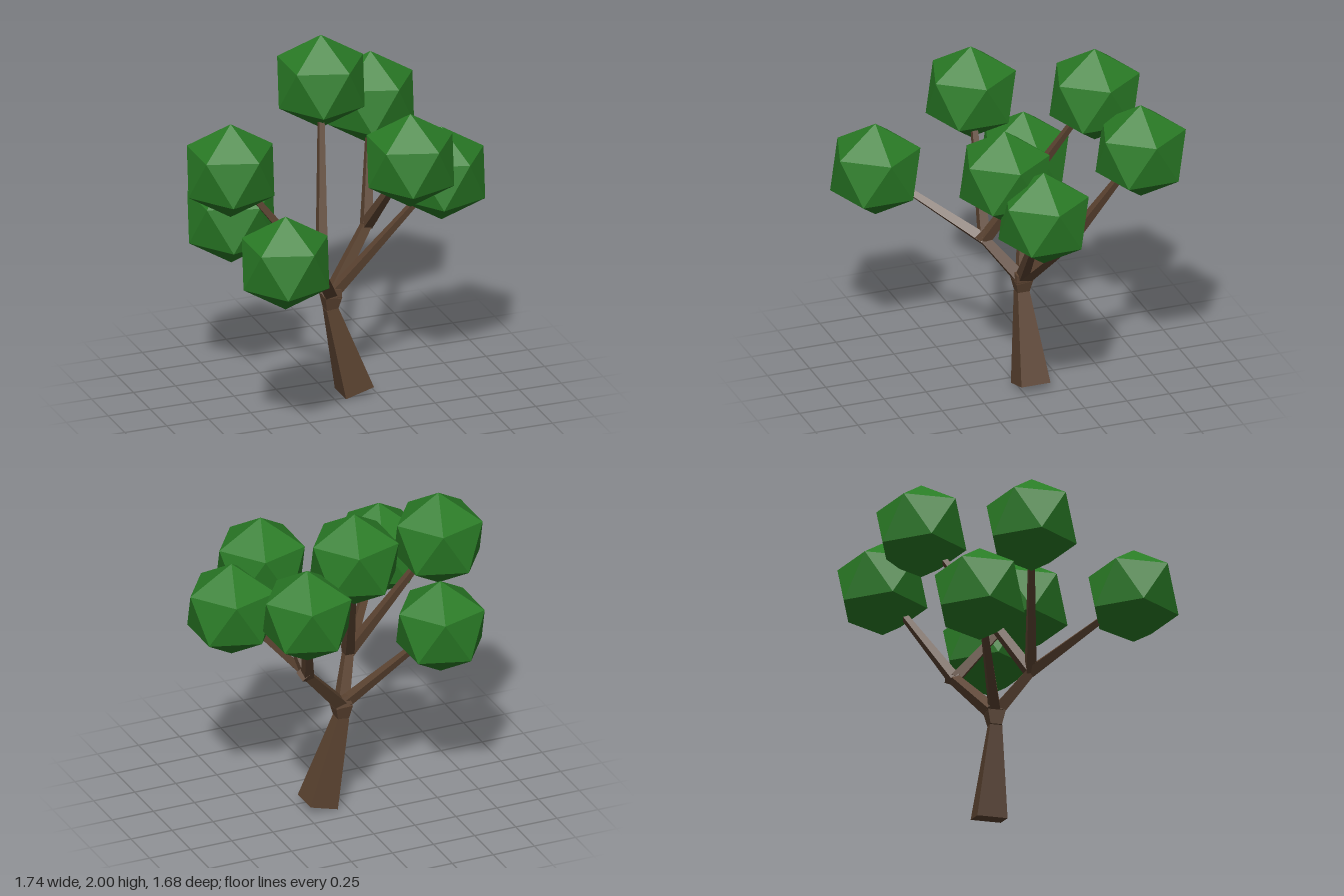
import * as THREE from 'three';

const bark = new THREE.MeshStandardMaterial({ color: 0x5a4230, flatShading: true });
const leaf = new THREE.MeshStandardMaterial({ color: 0x2a7c26, flatShading: true });
const UP = new THREE.Vector3(0, 1, 0);

// Square tapered limb between two points, with its width at each end
function limb(name, from, to, w0, w1) {
  const a = new THREE.Vector3(...from);
  const b = new THREE.Vector3(...to);
  const dir = b.clone().sub(a);
  const geo = new THREE.CylinderGeometry(w1 * Math.SQRT1_2, w0 * Math.SQRT1_2, dir.length(), 4);
  geo.rotateY(Math.PI / 4);
  const mesh = new THREE.Mesh(geo, bark);
  mesh.name = name;
  mesh.position.copy(a).add(b).multiplyScalar(0.5);
  mesh.quaternion.setFromUnitVectors(UP, dir.normalize());
  return mesh;
}

export function createModel() {
  const tree = new THREE.Group();
  tree.name = 'tree';

  const hub = [0, 0.6, -0.065];
  const leftFork = [0.28, 0.92, -0.23];
  const rightFork = [-0.12, 0.82, 0.11];

  // Leaning trunk and the flared knot where the branches start
  tree.add(limb('trunk', [0.143, 0.023, -0.065], [0, 0.53, -0.065], 0.172, 0.068));
  tree.add(limb('trunkFlare', [0, 0.525, -0.065], [0.002, 0.605, -0.065], 0.066, 0.1));
  tree.add(limb('trunkKnot', [0.002, 0.605, -0.065], [0.012, 0.655, -0.06], 0.1, 0.08));

  // Main boughs, each ending in a knot that forks
  for (const [side, fork] of [['left', leftFork], ['right', rightFork]]) {
    const f = new THREE.Vector3(...fork);
    const d = f.clone().sub(new THREE.Vector3(...hub)).normalize();
    const tip = f.clone().addScaledVector(d, 0.045).toArray();
    tree.add(limb(side + 'Bough', hub, fork, 0.068, 0.05));
    tree.add(limb(side + 'ForkKnot', fork, tip, 0.05, 0.07));
  }

  // Leaf balls: centre and the point their branch grows from
  const balls = [
    [[0.10, 1.72, -0.46], rightFork],
    [[-0.62, 1.48, 0.0], rightFork],
    [[-0.53, 1.15, 0.60], rightFork],
    [[-0.51, 1.08, -0.27], hub],
    [[0.62, 1.285, 0.04], hub],
    [[0.45, 1.51, -0.60], leftFork],
    [[0.38, 1.455, 0.18], leftFork],
  ];

  // Icosahedron turned so that one corner points straight up
  const ballGeo = new THREE.IcosahedronGeometry(0.28, 0);
  ballGeo.rotateZ(-Math.atan(2 / (1 + Math.sqrt(5))));

  balls.forEach(([centre, root], i) => {
    tree.add(limb('branch' + (i + 1), root, centre, 0.056, 0.024));
    const ball = new THREE.Mesh(ballGeo, leaf);
    ball.name = 'leafBall' + (i + 1);
    ball.position.set(...centre);
    tree.add(ball);
  });

  return tree;
}
